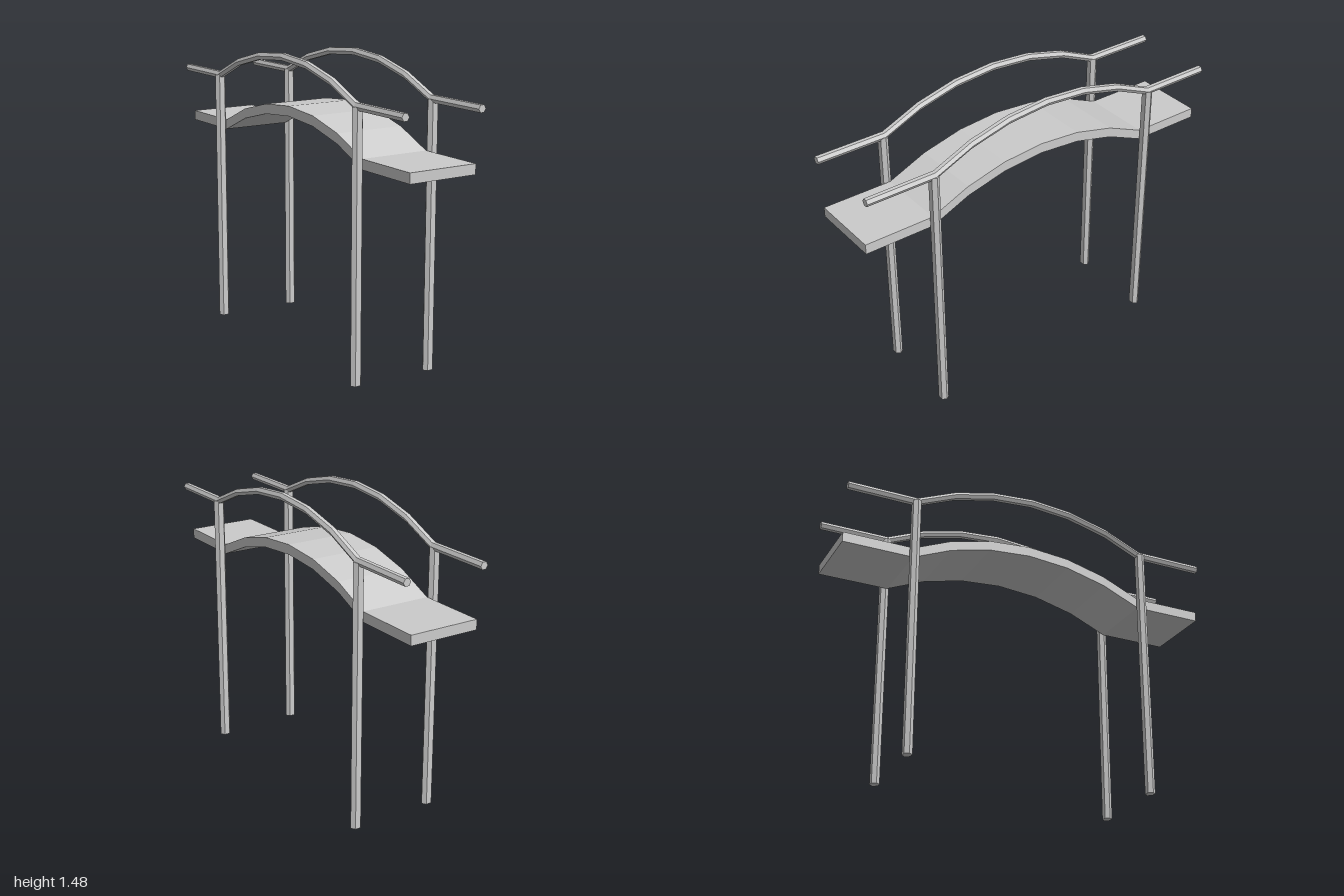
import * as THREE from 'three';

const material = new THREE.MeshStandardMaterial({ color: 0xcccccc, flatShading: true });

// Stations along the bridge: flat end, six-segment circular arch, flat end
const HALF_LENGTH = 0.975, ARCH_HALF = 0.62, RISE = 0.155;
const RADIUS = (ARCH_HALF ** 2 + RISE ** 2) / (2 * RISE);
const ARCH_ANGLE = Math.asin(ARCH_HALF / RADIUS);
const stations = [[-HALF_LENGTH, 0]];
for (let i = -3; i <= 3; i++) {
  const a = (ARCH_ANGLE * i) / 3;
  stations.push([RADIUS * Math.sin(a), RISE - RADIUS * (1 - Math.cos(a))]);
}
stations.push([HALF_LENGTH, 0]);
const SEGMENTS = stations.length - 1;

// Moves a unit-long bar, split into SEGMENTS along x, onto the arch stations
function archBar(geometry, name) {
  const flat = geometry.toNonIndexed();
  const p = flat.attributes.position;
  for (let i = 0; i < p.count; i++) {
    const [x, y] = stations[Math.round((p.getX(i) + 0.5) * SEGMENTS)];
    p.setX(i, x);
    p.setY(i, p.getY(i) + y);
  }
  flat.computeVertexNormals();
  const mesh = new THREE.Mesh(flat, material);
  mesh.name = name;
  return mesh;
}

export function createModel() {
  const bridge = new THREE.Group();
  bridge.name = 'archedFootbridge';

  // Walkway slab
  const deck = archBar(new THREE.BoxGeometry(1, 0.05, 0.36, SEGMENTS, 1, 1), 'deck');
  deck.position.y = 1.047;
  bridge.add(deck);

  for (const side of [1, -1]) {
    const sideName = side > 0 ? 'front' : 'back';

    // Six-sided handrail following the deck
    const bar = new THREE.CylinderGeometry(0.02, 0.02, 1, 6, SEGMENTS).rotateZ(Math.PI / 2);
    const rail = archBar(bar, sideName + 'Handrail');
    rail.position.set(0, 1.312, side * 0.208);
    bridge.add(rail);

    // Flattened six-sided posts under the ends of the arch
    const bottom = side > 0 ? 0.008 : 0, top = 1.312;
    for (const end of [1, -1]) {
      const post = new THREE.Mesh(
        new THREE.CylinderGeometry(0.029, 0.029, top - bottom, 6).scale(0.8, 1, 1), material);
      post.name = sideName + (end > 0 ? 'Left' : 'Right') + 'Post';
      post.position.set(end * 0.625, (top + bottom) / 2, side * 0.21);
      bridge.add(post);
    }
  }

  // The bridge stands slightly turned
  bridge.rotation.y = -0.154;
  const model = new THREE.Group();
  model.name = 'footbridge';
  model.add(bridge);
  return model;
}
